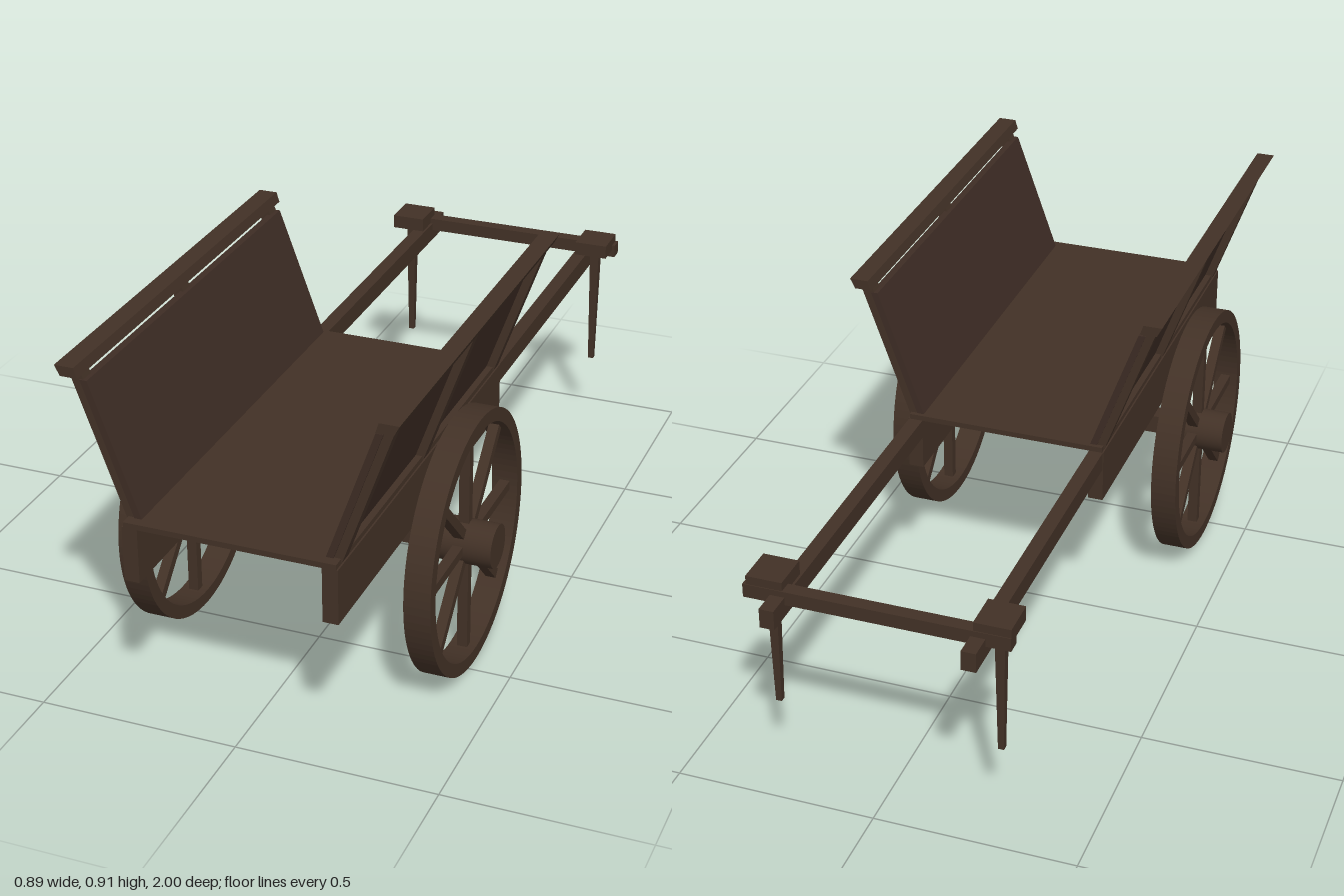
import * as THREE from 'three';

export function createModel() {
  const cart = new THREE.Group();
  cart.name = 'handCart';
  const wood = new THREE.MeshStandardMaterial({ color: 0x423126 });
  wood.name = 'darkWood';
  const panelWood = new THREE.MeshStandardMaterial({ color: 0x3d2c24 });
  panelWood.name = 'panelWood';

  const add = (parent, name, geometry, material = wood) => {
    const mesh = new THREE.Mesh(geometry, material);
    mesh.name = name;
    parent.add(mesh);
    return mesh;
  };
  // Box given by its extents
  const box = (parent, name, [x0, x1], [y0, y1], [z0, z1], material) => {
    const g = new THREE.BoxGeometry(Math.abs(x1 - x0), y1 - y0, z1 - z0);
    g.translate((x0 + x1) / 2, (y0 + y1) / 2, (z0 + z1) / 2);
    return add(parent, name, g, material);
  };
  // Slanted board: an outline in x and y, drawn out along z
  const board = (parent, name, points, [z0, z1], material) => {
    const shape = new THREE.Shape(points.map(([x, y]) => new THREE.Vector2(x, y)));
    const g = new THREE.ExtrudeGeometry(shape, { depth: z1 - z0, bevelEnabled: false });
    g.translate(0, 0, z0);
    return add(parent, name, g, material);
  };

  // Spoked wheel, built around the origin with its axis along x
  const makeWheel = (s) => {
    const wheel = new THREE.Group();
    wheel.name = s > 0 ? 'leftWheel' : 'rightWheel';
    const ring = new THREE.Shape().absarc(0, 0, 0.328, 0, Math.PI * 2);
    ring.holes.push(new THREE.Path().absarc(0, 0, 0.294, 0, Math.PI * 2, true));
    const rim = new THREE.ExtrudeGeometry(ring, { depth: 0.066, bevelEnabled: false, curveSegments: 48 });
    rim.translate(0, 0, -0.033).rotateY(Math.PI / 2);
    add(wheel, 'rim', rim);
    const hub = new THREE.CylinderGeometry(0.055, 0.055, 0.165, 32);
    hub.rotateZ(Math.PI / 2);
    add(wheel, 'hub', hub);
    for (let i = 0; i < 8; i++) {
      const spoke = new THREE.BoxGeometry(0.026, 0.26, 0.024);
      spoke.translate(0, 0.17, 0).rotateX((i * Math.PI) / 4);
      add(wheel, 'spoke', spoke);
    }
    wheel.position.set(s * 0.362, 0.328, 0.45);
    return wheel;
  };

  // Bed, axle and the crossbar at the handles
  box(cart, 'floor', [-0.258, 0.258], [0.53, 0.544], [-0.09, 1]);
  box(cart, 'axle', [-0.3, 0.3], [0.305, 0.355], [0.425, 0.475]);
  box(cart, 'crossbar', [-0.32, 0.328], [0.51, 0.545], [-0.94, -0.905]);

  for (const s of [1, -1]) {
    const side = new THREE.Group();
    side.name = s > 0 ? 'leftSide' : 'rightSide';
    cart.add(side);
    cart.add(makeWheel(s));

    box(side, 'sideBeam', [s * 0.224, s * 0.262], [0.392, 0.531], [-0.09, 1]);
    box(side, 'handle', [s * 0.224, s * 0.26], [0.48, 0.53], [-1, -0.08]);
    box(side, 'handleBlock', [s * 0.23, s * 0.32], [0.53, 0.567], [-0.938, -0.84]);

    // Tapered prop leg with a square section
    const leg = new THREE.CylinderGeometry(0.018, 0.0105, 0.335, 4);
    leg.rotateY(Math.PI / 4);
    leg.translate(s * 0.278, 0.3625, -0.885);
    const legWood = add(side, 'propLeg', leg.toNonIndexed());
    legWood.geometry.computeVertexNormals();

    // Side wall leaning outwards: k is the lean, x measured at y = 0.54
    const k = 0.36;
    const slab = (x0, x1, y0, y1) => [[x0, y0], [x1, y0], [x1, y1], [x0, y1]]
      .map(([x, y]) => [s * (x + k * (y - 0.54)), y]);
    board(side, 'sidePanel', slab(0.222, 0.24, 0.535, 0.87), [-0.08, 0.975], panelWood);
    for (const z of [-0.06, 0.45, 0.953]) {
      board(side, 'post', slab(0.232, 0.262, 0.535, 0.89), [z - 0.018, z + 0.018]);
    }
    // Top rail with its edges following the lean
    board(side, 'topRail',
      [[0.35, 0.885], [0.392, 0.885], [0.405, 0.91], [0.358, 0.91]].map(([x, y]) => [s * x, y]),
      [-0.1, 1]);
  }
  return cart;
}
